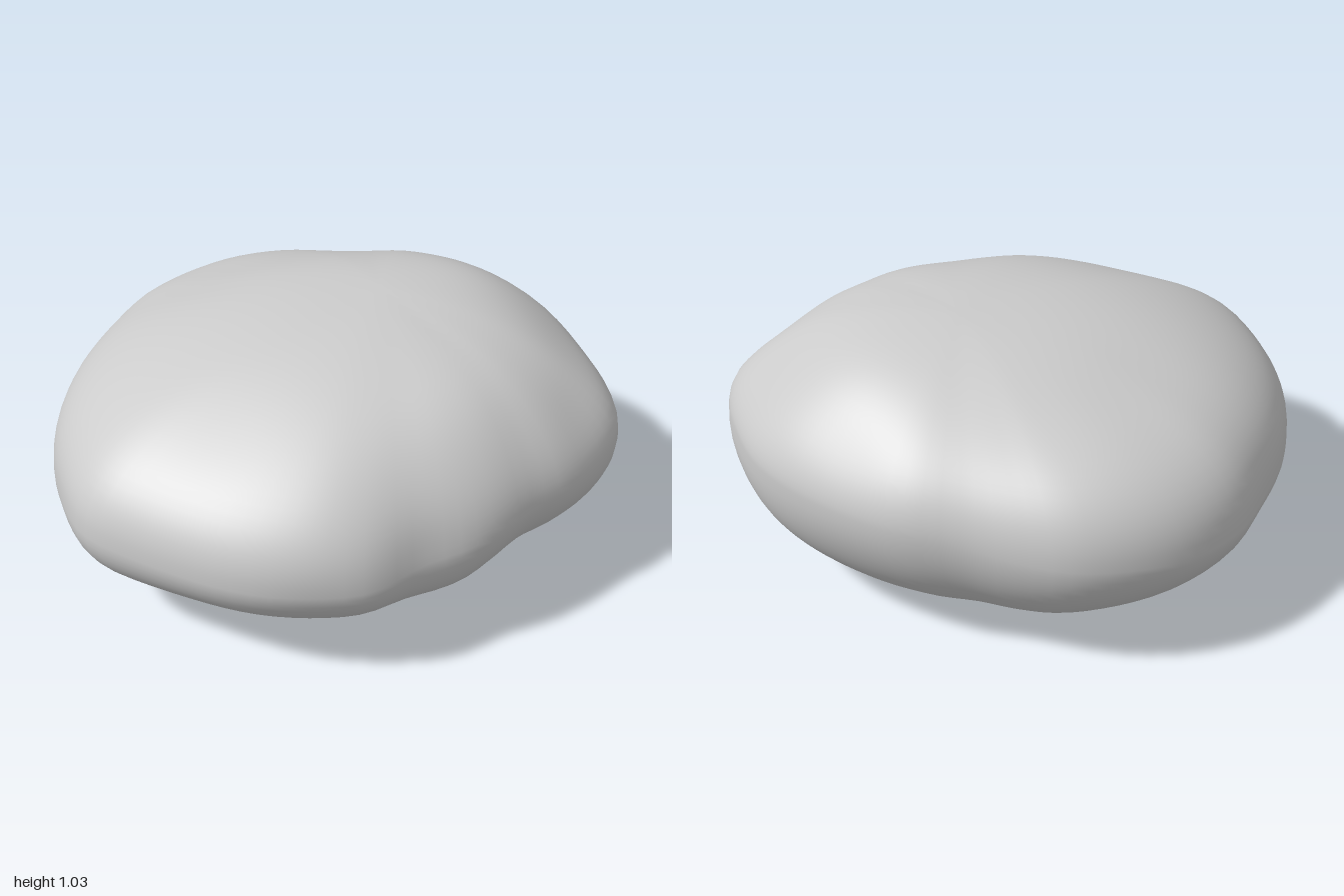
import * as THREE from 'three';

// Widest outline of the boulder as x, height, z
const RIM = [
  [1.0, .55, -.35], [.98, .57, -.53], [.89, .59, -.67], [.75, .6, -.79], [.5, .6, -.92],
  [.15, .6, -.98], [-.13, .59, -.94], [-.34, .57, -.85], [-.53, .54, -.78], [-.7, .52, -.69],
  [-.86, .5, -.52], [-.96, .48, -.33], [-1.0, .47, -.11], [-.97, .47, .1], [-.9, .46, .38],
  [-.78, .46, .61], [-.61, .47, .79], [-.38, .48, .94], [-.16, .48, .955], [.2, .47, .905],
  [.45, .46, .8], [.61, .46, .66], [.71, .48, .51], [.8, .5, .35], [.86, .52, .18],
  [.91, .53, 0], [.97, .54, -.15],
].map(p => new THREE.Vector3(...p));

const TOP = new THREE.Vector3(.1, 1.035, -.24);
const BOTTOM = new THREE.Vector3(-.1, 0, -.2);

// Soft hollows (negative) and swellings (positive): x, y, z, radius, amount
const BUMPS = [
  // hollows and knobs on the front left side
  [.76, .52, .45, .17, -.03], [.78, .27, .24, .2, .04], [.62, .32, .62, .18, .01],
  [.72, .72, .42, .22, -.02], [.5, .4, .78, .18, -.015],
  // shoulders above the flattened back and left faces
  [.25, .92, -.62, .22, .02], [.1, .74, -.86, .2, -.025], [.62, .9, .0, .22, .025],
  [.95, .75, -.35, .2, -.025], [.75, .8, -.65, .28, -.045],
  // slopes beside the front right ridge
  [-.65, .9, -.2, .3, -.04], [-.4, .9, -.55, .3, -.04], [0, .87, .65, .3, -.015],
  // broad unevenness
  [-.3, .3, .85, .25, .012], [-.65, .32, .65, .2, .01], [.1, .42, -.9, .2, -.01],
];

function surfacePoint(rim, phi) {
  const upper = phi < Math.PI / 2;
  const pole = upper ? TOP : BOTTOM;
  const length = Math.hypot(rim.x, rim.z);
  const dz = rim.z / length;
  const diagonal = (dz - rim.x / length) * Math.SQRT1_2;
  // The upper side is fullest at the front right, the underside along its diagonal
  const n = upper
    ? 2.13 + .26 * diagonal
    : 1.76 + .15 * dz * dz + (diagonal > 0 ? .22 : .45) * diagonal ** 6;
  const spread = Math.pow(Math.sin(phi), 2 / n);
  const lift = Math.pow(Math.abs(Math.cos(phi)), 2 / n);
  const p = new THREE.Vector3(
    THREE.MathUtils.lerp(pole.x, rim.x, spread),
    THREE.MathUtils.lerp(rim.y, pole.y, lift),
    THREE.MathUtils.lerp(pole.z, rim.z, spread));
  // The top slopes gently down toward the front
  if (upper) p.y -= .04 * Math.sin(2 * phi) * Math.max(0, p.z + .1);

  const out = new THREE.Vector3(p.x, (p.y - .52) * 1.8, p.z + .1).normalize();
  let push = 0;
  for (const [x, y, z, r, amount] of BUMPS) {
    const d2 = (p.x - x) ** 2 + (p.y - y) ** 2 + (p.z - z) ** 2;
    push += amount * Math.exp(-d2 / (r * r));
  }
  return p.addScaledVector(out, push);
}

function boulderGeometry(around = 96, rings = 48) {
  const curve = new THREE.CatmullRomCurve3(RIM, true);
  const rim = Array.from({ length: around }, (_, i) => curve.getPointAt(i / around));
  const points = [TOP.clone()];
  for (let j = 1; j < rings; j++)
    for (const r of rim) points.push(surfacePoint(r, Math.PI * j / rings));
  points.push(BOTTOM.clone());

  // Shared vertices keep the seam and both poles smooth
  const index = [];
  const id = (j, i) => 1 + (j - 1) * around + i % around;
  for (let i = 0; i < around; i++) {
    index.push(0, id(1, i), id(1, i + 1));
    for (let j = 1; j < rings - 1; j++)
      index.push(id(j, i), id(j + 1, i), id(j + 1, i + 1), id(j, i), id(j + 1, i + 1), id(j, i + 1));
    index.push(id(rings - 1, i), points.length - 1, id(rings - 1, i + 1));
  }
  const g = new THREE.BufferGeometry().setFromPoints(points);
  g.setIndex(index);
  g.computeVertexNormals();
  return g;
}

export function createModel() {
  const group = new THREE.Group();
  group.name = 'rock';
  const boulder = new THREE.Mesh(boulderGeometry(), new THREE.MeshStandardMaterial({ color: 0xcccccc }));
  boulder.name = 'boulder';
  group.add(boulder);
  return group;
}
